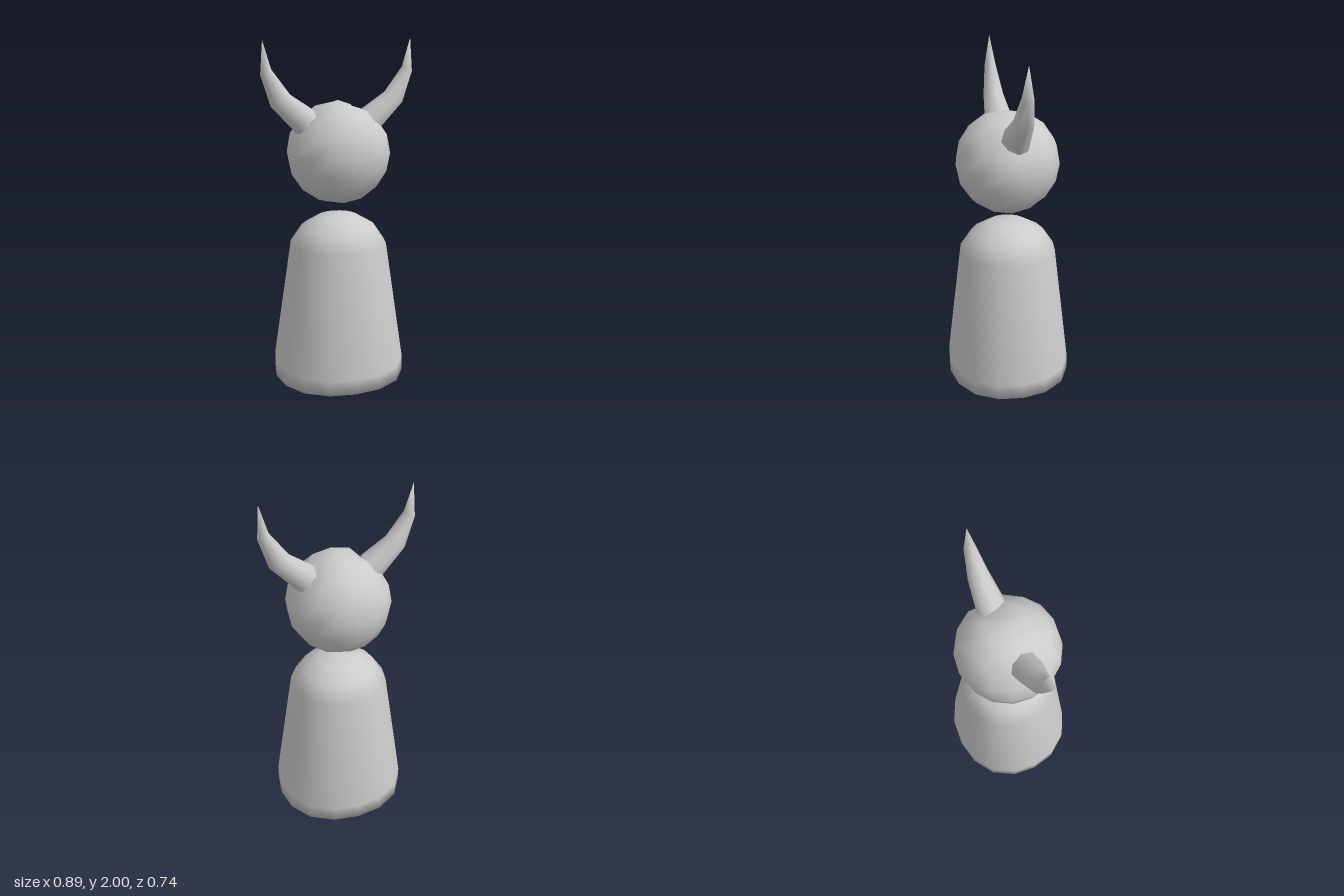
import * as THREE from 'three';
import { mergeVertices } from 'three/addons/utils/BufferGeometryUtils.js';

// Weld a geometry and shade it smoothly.
function smooth(geometry) {
  geometry.deleteAttribute('normal');
  geometry.deleteAttribute('uv');
  const welded = mergeVertices(geometry, 1e-4);
  welded.computeVertexNormals();
  return welded;
}

// Move every vertex by a rule.
function deform(geometry, rule) {
  const p = geometry.attributes.position;
  const v = new THREE.Vector3();
  for (let i = 0; i < p.count; i++) {
    rule(v.fromBufferAttribute(p, i));
    p.setXYZ(i, v.x, v.y, v.z);
  }
  return geometry;
}

// Domed, flaring body with a flat base, slightly flattened front to back at the foot.
function bodyGeometry() {
  const profile = [[0, 0], [0.39, 0], [0.39, 0.09], [0.285, 0.82], [0.218, 0.92], [0.118, 0.98], [0, 1]]
    .map(([r, y]) => new THREE.Vector2(r, y));
  return smooth(deform(new THREE.LatheGeometry(profile, 16), (v) => {
    const foot = THREE.MathUtils.clamp((0.82 - v.y) / 0.73, 0, 1);
    const corner = 1 + 0.035 * foot * Math.sin(2 * Math.atan2(v.x, v.z)) ** 2;
    v.x *= corner;
    v.z *= corner * (1 - 0.055 * foot);
  }));
}

// Ball made from a rounded cube, dented around the root of each horn.
function headGeometry() {
  const bend = (t) => Math.tan(t * Math.PI / 4);
  return smooth(deform(new THREE.BoxGeometry(2, 2, 2, 4, 4, 4), (v) => {
    v.set(bend(v.x), bend(v.y), bend(v.z)).setLength(0.3);
    const axis = new THREE.Vector3(v.x < 0 ? -1 : 1, 1, 0).normalize();
    const angle = v.angleTo(axis);
    if (angle > 0.05 && angle < 0.45) {
      const along = axis.multiplyScalar(v.dot(axis));
      v.sub(along).multiplyScalar(1.25).add(along).setLength(0.276);
    }
  }));
}

// Curved horn lofted through rings: outer x, y, inner x, y, half depth.
function hornGeometry() {
  const rings = [
    [0.21, 1.42, 0.07, 1.53, 0.09],
    [0.265, 1.5, 0.148, 1.61, 0.083],
    [0.39, 1.635, 0.28, 1.7, 0.06],
    [0.445, 1.81, 0.383, 1.84, 0.034],
    [0.43, 2, 0.43, 2, 0],
  ];
  const sides = 8;
  const positions = [];
  const index = [];
  rings.forEach(([ox, oy, ix, iy, depth], i) => {
    for (let j = 0; j < sides; j++) {
      const a = (j / sides) * Math.PI * 2;
      const t = (1 + Math.cos(a)) / 2;
      positions.push(ix + (ox - ix) * t, iy + (oy - iy) * t, depth * Math.sin(a));
      if (i === 0) continue;
      const next = (j + 1) % sides;
      const low = (i - 1) * sides;
      const high = i * sides;
      index.push(low + j, high + j, low + next);
      if (i < rings.length - 1) index.push(low + next, high + j, high + next);
    }
  });
  const geometry = new THREE.BufferGeometry();
  geometry.setAttribute('position', new THREE.Float32BufferAttribute(positions, 3));
  geometry.setIndex(index);
  return smooth(geometry);
}

export function createModel() {
  const group = new THREE.Group();
  const material = new THREE.MeshStandardMaterial({ color: 0xcccccc });
  const add = (name, geometry) => {
    const mesh = new THREE.Mesh(geometry, material);
    mesh.name = name;
    group.add(mesh);
    return mesh;
  };

  add('body', bodyGeometry());
  add('head', headGeometry()).position.y = 1.36;

  // Matching horns, the second turned half way round
  const horn = hornGeometry();
  add('leftHorn', horn);
  add('rightHorn', horn).rotation.y = Math.PI;
  return group;
}
